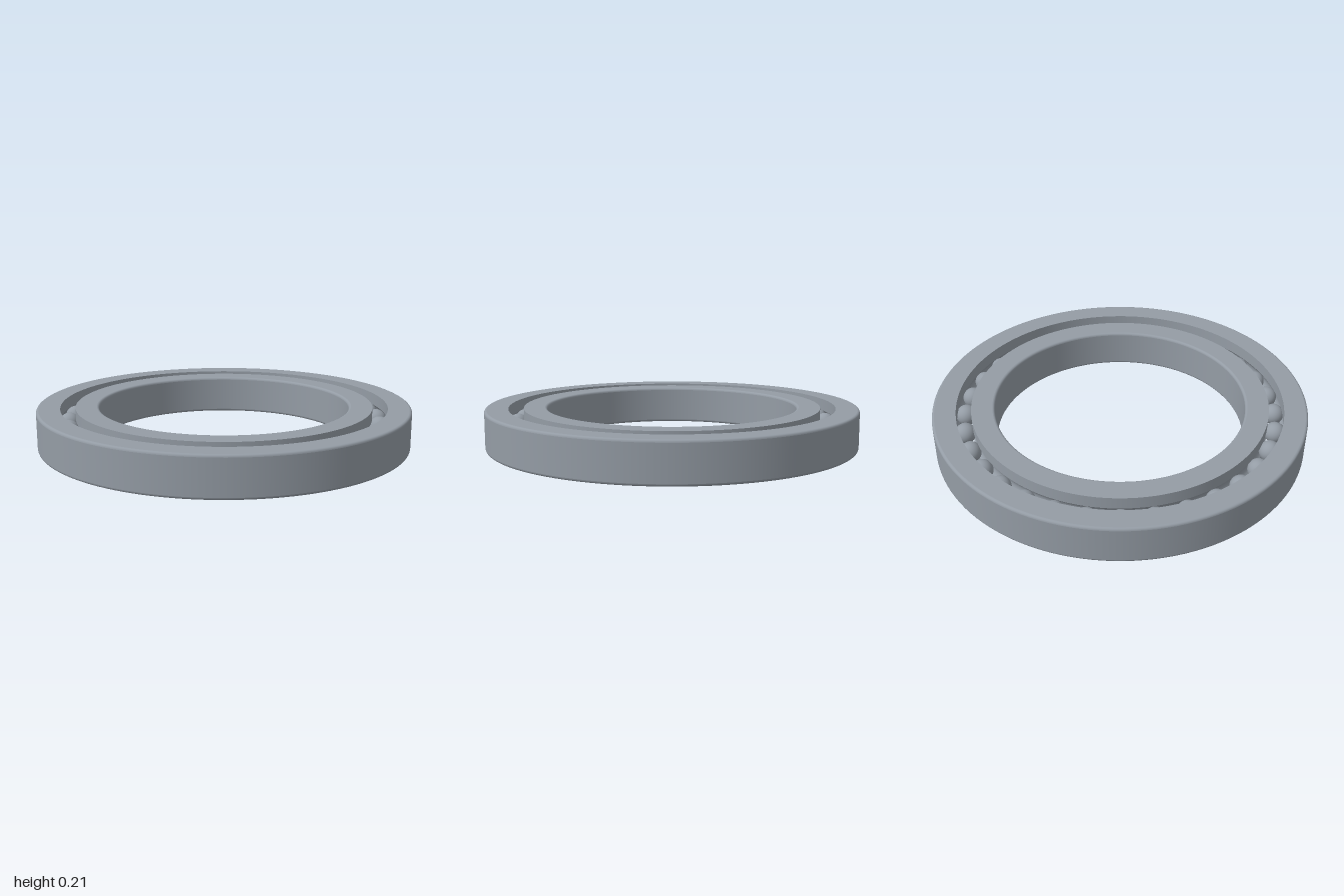
import * as THREE from 'three';
import { mergeGeometries } from 'three/addons/utils/BufferGeometryUtils.js';

const HEIGHT = 0.21;
const MID = HEIGHT / 2;
const PITCH = 0.835;      // radius of the circle the balls run on
const OUTER = 1;          // outside radius
const LAND = 0.875;       // inside radius of the outer ring
const FILLET = 0.013;
const BALL_RADIUS = 0.056;
const GROOVE_RADIUS = 0.057;
const BALL_COUNT = 32;

// Points of an arc in the (radius, height) plane
function arc(cx, cy, r, from, to, steps) {
  return Array.from({ length: steps + 1 }, (_, i) => {
    const a = from + (to - from) * i / steps;
    return [cx + r * Math.cos(a), cy + r * Math.sin(a)];
  });
}

// Outer ring section, anticlockwise, one run of points per smooth surface
function ringSection() {
  const half = Math.acos((LAND - PITCH) / GROOVE_RADIUS);
  const lip = GROOVE_RADIUS * Math.sin(half);
  const inset = OUTER - FILLET;
  return [
    [[OUTER, FILLET], [OUTER, HEIGHT - FILLET]],
    arc(inset, HEIGHT - FILLET, FILLET, 0, Math.PI / 2, 4),
    [[inset, HEIGHT], [LAND, HEIGHT]],
    [[LAND, HEIGHT], [LAND, MID + lip]],
    arc(PITCH, MID, GROOVE_RADIUS, half, -half, 10),
    [[LAND, MID - lip], [LAND, 0]],
    [[LAND, 0], [inset, 0]],
    arc(inset, FILLET, FILLET, -Math.PI / 2, 0, 4),
  ];
}

// Each run is turned separately so the edges between them stay sharp
function turnedRing(name, section, material) {
  const parts = section.map(run =>
    new THREE.LatheGeometry(run.map(([r, y]) => new THREE.Vector2(r, y)), 128));
  const mesh = new THREE.Mesh(mergeGeometries(parts), material);
  mesh.name = name;
  return mesh;
}

export function createModel() {
  const model = new THREE.Group();
  model.name = 'ballBearing';
  const steel = new THREE.MeshStandardMaterial({ color: 0x949ca5 });
  steel.name = 'steel grey';

  // Races: the inner section is the outer one turned half way round the ball centre
  const outer = ringSection();
  const inner = outer.map(run => run.map(([r, y]) => [2 * PITCH - r, HEIGHT - y]));
  model.add(turnedRing('outerRing', outer, steel));
  model.add(turnedRing('innerRing', inner, steel));

  // Balls
  const balls = new THREE.Group();
  balls.name = 'balls';
  const ballGeometry = new THREE.SphereGeometry(BALL_RADIUS, 32, 20);
  for (let i = 0; i < BALL_COUNT; i++) {
    const a = i / BALL_COUNT * Math.PI * 2 + 0.011;
    const ball = new THREE.Mesh(ballGeometry, steel);
    ball.name = 'ball' + (i + 1);
    ball.position.set(PITCH * Math.cos(a), MID, PITCH * Math.sin(a));
    balls.add(ball);
  }
  model.add(balls);
  return model;
}
